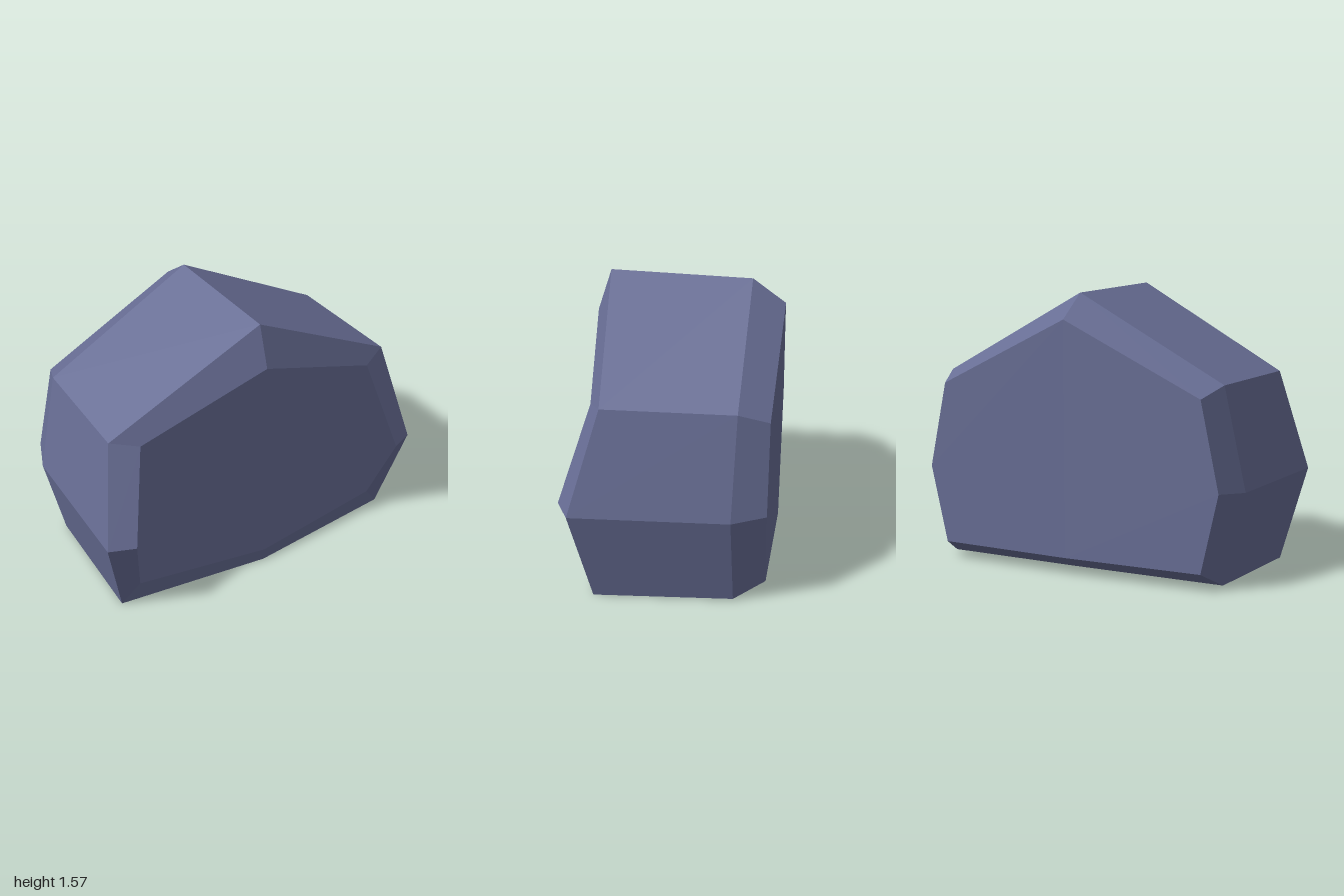
import * as THREE from 'three';

const slate = new THREE.MeshStandardMaterial({ color: 0x676d94 });
slate.name = 'slateBlue';

// Closed mirrored ring, counter-clockwise from the front:
// apex, right shoulder, right widest, right foot, bottom centre, then the left side.
function ring(apex, shoulder, wide, foot, bottom) {
  const flip = ([x, y, z]) => [-x, y, z];
  return [apex, flip(shoulder), flip(wide), flip(foot), bottom, foot, wide, shoulder]
    .map((p) => new THREE.Vector3(...p));
}

const frontInner = ring([0, 1.33, 0.482], [0.73, 1.055, 0.405], [0.86, 0.535, 0.57], [0.78, 0.135, 0.43], [0, 0.08, 0.5]);
const frontOuter = ring([0, 1.565, 0.405], [0.88, 1.09, 0.335], [1, 0.52, 0.5], [0.88, 0, 0.39], [0, 0, 0.49]);
const backOuter = ring([0, 1.54, -0.385], [0.855, 1.08, -0.375], [0.973, 0.52, -0.355], [0.855, 0.01, -0.365], [0, 0.01, -0.375]);
const backInner = ring([0, 1.405, -0.57], [0.795, 1.02, -0.54], [0.9, 0.535, -0.538], [0.8, 0.1, -0.535], [0, 0.1, -0.56]);

// Averaged normal of a slightly bent polygon
function polygonNormal(pts) {
  const n = new THREE.Vector3();
  pts.forEach((p, i) => n.add(p.clone().cross(pts[(i + 1) % pts.length])));
  return n.normalize();
}

// Mesh from facets, each { pts, normal }, fanned into triangles
function facetMesh(name, facets) {
  const pos = [], nor = [];
  for (const { pts, normal } of facets) {
    for (let i = 1; i < pts.length - 1; i++) {
      for (const p of [pts[0], pts[i], pts[i + 1]]) {
        pos.push(p.x, p.y, p.z);
        nor.push(normal.x, normal.y, normal.z);
      }
    }
  }
  const geo = new THREE.BufferGeometry();
  geo.setAttribute('position', new THREE.Float32BufferAttribute(pos, 3));
  geo.setAttribute('normal', new THREE.Float32BufferAttribute(nor, 3));
  const mesh = new THREE.Mesh(geo, slate);
  mesh.name = name;
  return mesh;
}

// Band of flat quads between a front ring and a back ring
function band(name, a, b) {
  return facetMesh(name, a.map((p, i) => {
    const j = (i + 1) % a.length;
    const pts = [p, b[i], b[j], a[j]];
    return { pts, normal: polygonNormal(pts) };
  }));
}

// Cap made of the given pieces of a ring, all sharing one normal
function cap(name, r, pieces) {
  const normal = polygonNormal(pieces.flat().length ? r : []);
  return facetMesh(name, pieces.map((s) => ({ pts: s.map((i) => r[i]), normal })));
}

// Front: sunken middle with top and bottom wedges and a raised ear on each side
const frontPieces = [[0, 1, 7], [1, 3, 5, 7], [1, 2, 3], [5, 6, 7], [3, 4, 5]];
// Back: two halves meeting at a shallow central ridge (indices of the reversed ring)
const backPieces = [[7, 0, 1, 2, 3], [3, 4, 5, 6, 7]];

export function createModel() {
  const model = new THREE.Group();
  model.name = 'facetedBlock';
  model.add(
    cap('frontFace', frontInner, frontPieces),
    band('frontBevel', frontInner, frontOuter),
    band('sides', frontOuter, backOuter),
    band('backBevel', backOuter, backInner),
    cap('backFace', [...backInner].reverse(), backPieces),
  );
  return model;
}
